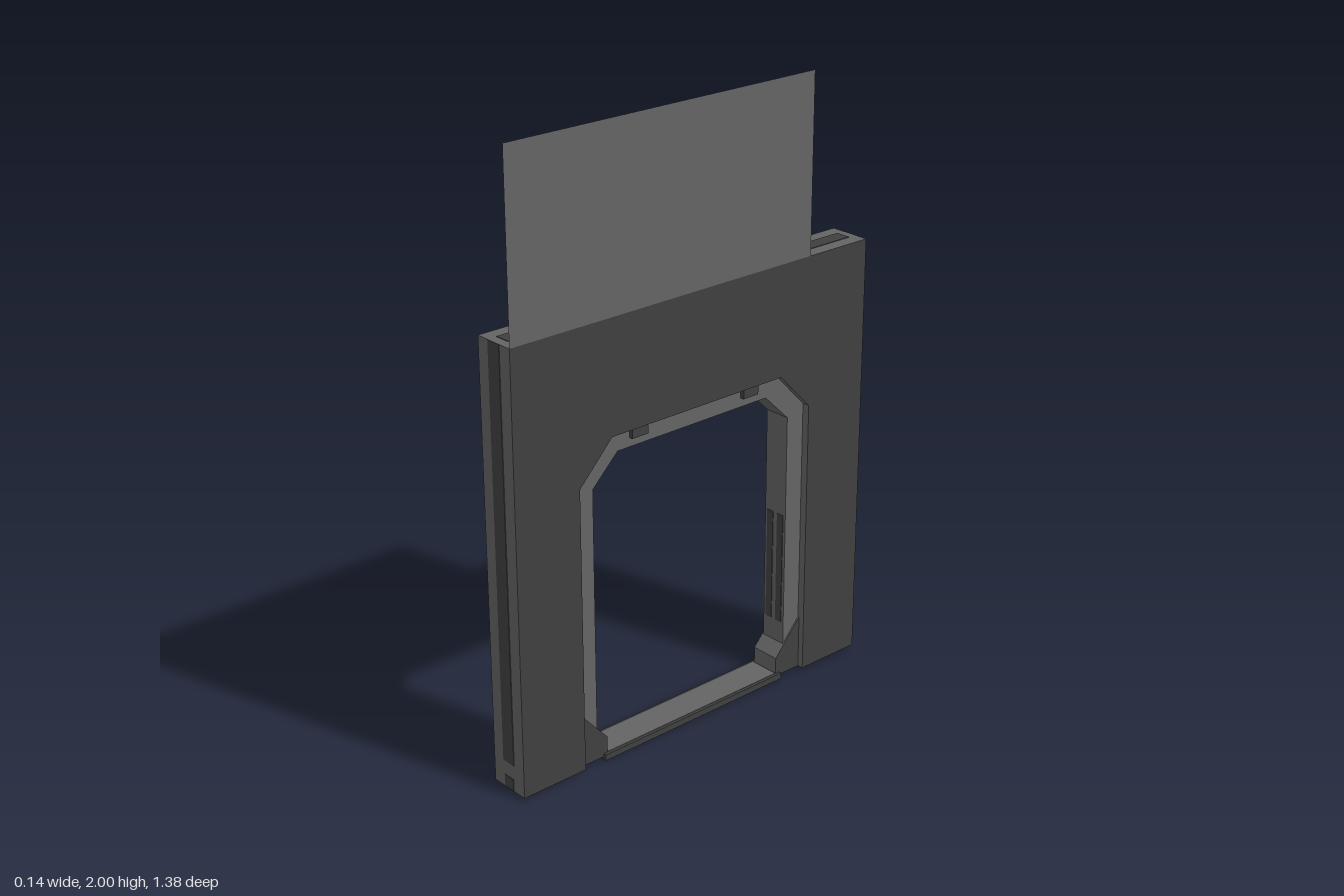
import * as THREE from 'three';

const dark = new THREE.MeshStandardMaterial({ color: 0x404040 });
dark.name = 'dark grey';
const light = new THREE.MeshStandardMaterial({ color: 0x646464 });
light.name = 'light grey';
const sheet = new THREE.MeshStandardMaterial({ color: 0x646464, side: THREE.DoubleSide });
sheet.name = 'light grey sheet';

export function createModel() {
  const model = new THREE.Group();

  const add = (name, geometry, material) => {
    const mesh = new THREE.Mesh(geometry, material);
    mesh.name = name;
    model.add(mesh);
    return mesh;
  };

  // Extrudes a (z, y) outline across x, centred on x = 0
  const slab = (name, points, width, material) => {
    const shape = new THREE.Shape(points.map(([z, y]) => new THREE.Vector2(z, y)));
    const geometry = new THREE.ExtrudeGeometry(shape, { depth: width, bevelEnabled: false });
    geometry.translate(0, 0, -width / 2).rotateY(-Math.PI / 2);
    return add(name, geometry, material);
  };

  const box = (name, [w, h, d], [x, y, z], material) =>
    add(name, new THREE.BoxGeometry(w, h, d), material).position.set(x, y, z);

  // Half of a chamfered doorway outline, mirrored into a full arch
  const arch = (half) => [...half, ...half.map(([z, y]) => [-z, y]).reverse()];
  const opening = arch([[0.457, 0.01], [0.457, 0.94], [0.335, 1.067]]);
  const inner = arch([[0.39, 0.012], [0.39, 0.91], [0.295, 1.003]]);

  // Wall with dark faces and light edges
  slab('wall', [[-0.69, 0.01], [-0.69, 1.43], [0.69, 1.43], [0.69, 0.01], ...opening], 0.14, [dark, light]);

  // Recessed door frame
  const frameOuter = arch([[0.46, 0.012], [0.46, 0.942], [0.337, 1.07]]).reverse();
  slab('doorFrame', [...frameOuter, ...inner], 0.09, light);

  // Threshold, dark with a light top
  box('threshold', [0.12, 0.02, 0.74], [0, 0.01, 0], dark);
  box('thresholdTop', [0.1, 0.003, 0.7], [0, 0.0205, 0], light);

  // Thin sheet standing above one face of the wall
  const panel = new THREE.PlaneGeometry(1.14, 0.57).rotateY(Math.PI / 2);
  add('upperPanel', panel, sheet).position.set(0.07, 1.715, 0.12);

  // Worn strip along the top
  box('topStrip', [0.05, 0.004, 1.32], [0, 1.43, 0], dark);

  for (const s of [-1, 1]) {
    // Corner gussets at the foot of the doorway
    slab('gusset', [[s * 0.457, 0.01], [s * 0.457, 0.19], [s * 0.355, 0.075], [s * 0.355, 0.01]], 0.1, [dark, light]);

    // Worn strips on the wall ends
    box('endStrip', [0.05, 1.33, 0.004], [0, 0.765, s * 0.69], dark);
    box('endFootMark', [0.04, 0.04, 0.004], [0, 0.032, s * 0.69], dark);

    for (const t of [-1, 1]) {
      // Small clips under the lintel on both faces
      box('clip', [0.015, 0.035, 0.06], [t * 0.0515, 1.05, s * 0.22], dark);
      // Worn strips on the jambs
      box('jambStrip', [0.026, 0.38, 0.004], [t * 0.022, 0.38, s * 0.39], dark);
    }
  }
  return model;
}
